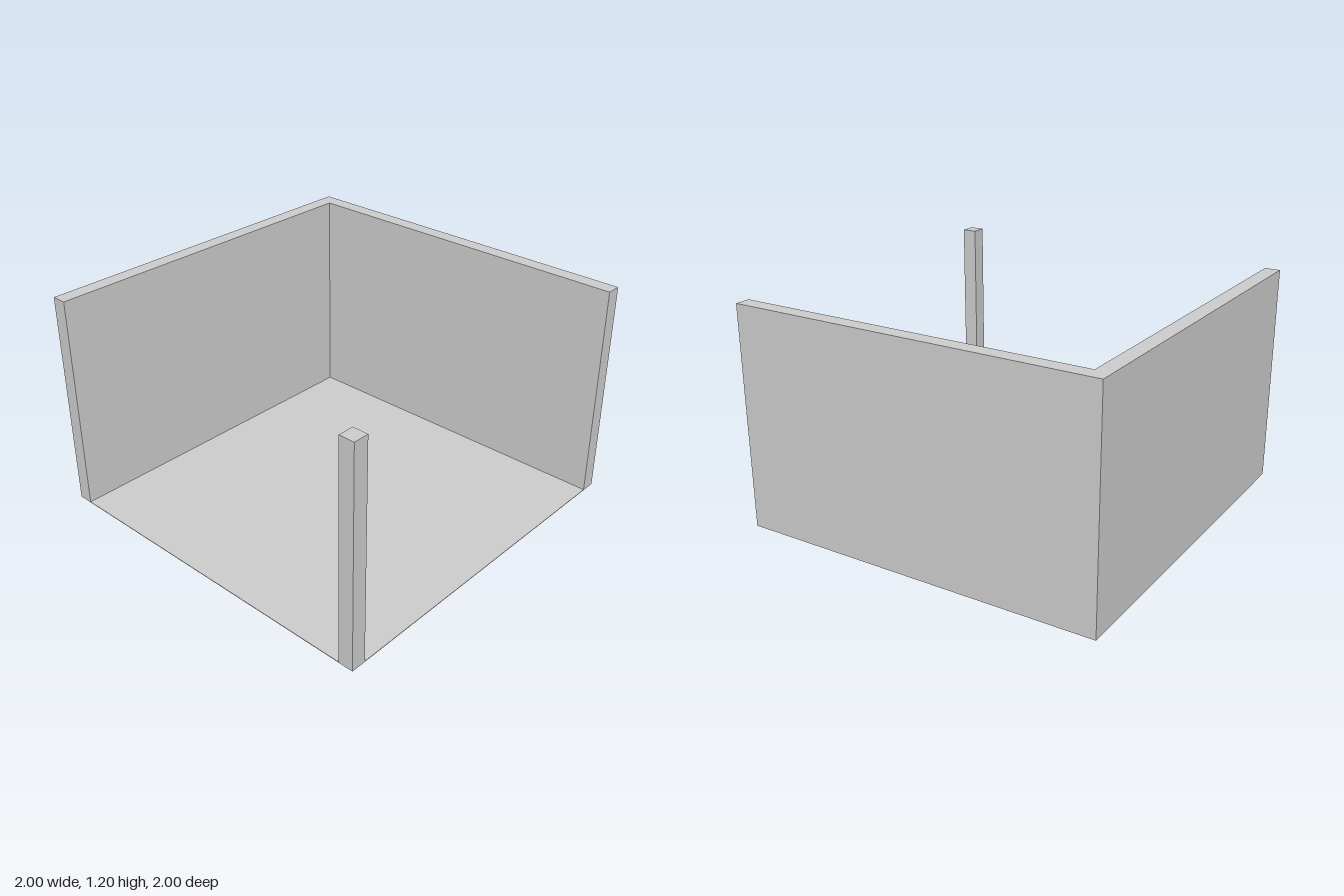
import * as THREE from 'three';

export function createModel() {
  const model = new THREE.Group();
  const material = new THREE.MeshStandardMaterial({ color: 0xcccccc, flatShading: true });
  const size = 2, height = 1.2, wall = 0.083, floorThickness = 0.004;
  const half = size / 2, inner = half - wall;

  const add = (name, geometry, x = 0, y = 0, z = 0) => {
    const mesh = new THREE.Mesh(geometry, material);
    mesh.name = name;
    mesh.position.set(x, y, z);
    model.add(mesh);
  };

  // Thin square floor
  add('floor', new THREE.BoxGeometry(size, floorThickness, size), 0, floorThickness / 2, 0);

  // Back and left walls as one L-shaped plan (shape y = -z), extruded upwards
  const plan = new THREE.Shape([
    [-half, half], [-half, inner], [inner, inner],
    [inner, -half], [half, -half], [half, half],
  ].map(([x, y]) => new THREE.Vector2(x, y)));
  const walls = new THREE.ExtrudeGeometry(plan, { depth: height, bevelEnabled: false });
  walls.rotateX(-Math.PI / 2);
  add('cornerWalls', walls);

  // Square post at the free front corner
  add('cornerPost', new THREE.BoxGeometry(wall, height, wall),
    -half + wall / 2, height / 2, half - wall / 2);

  return model;
}
